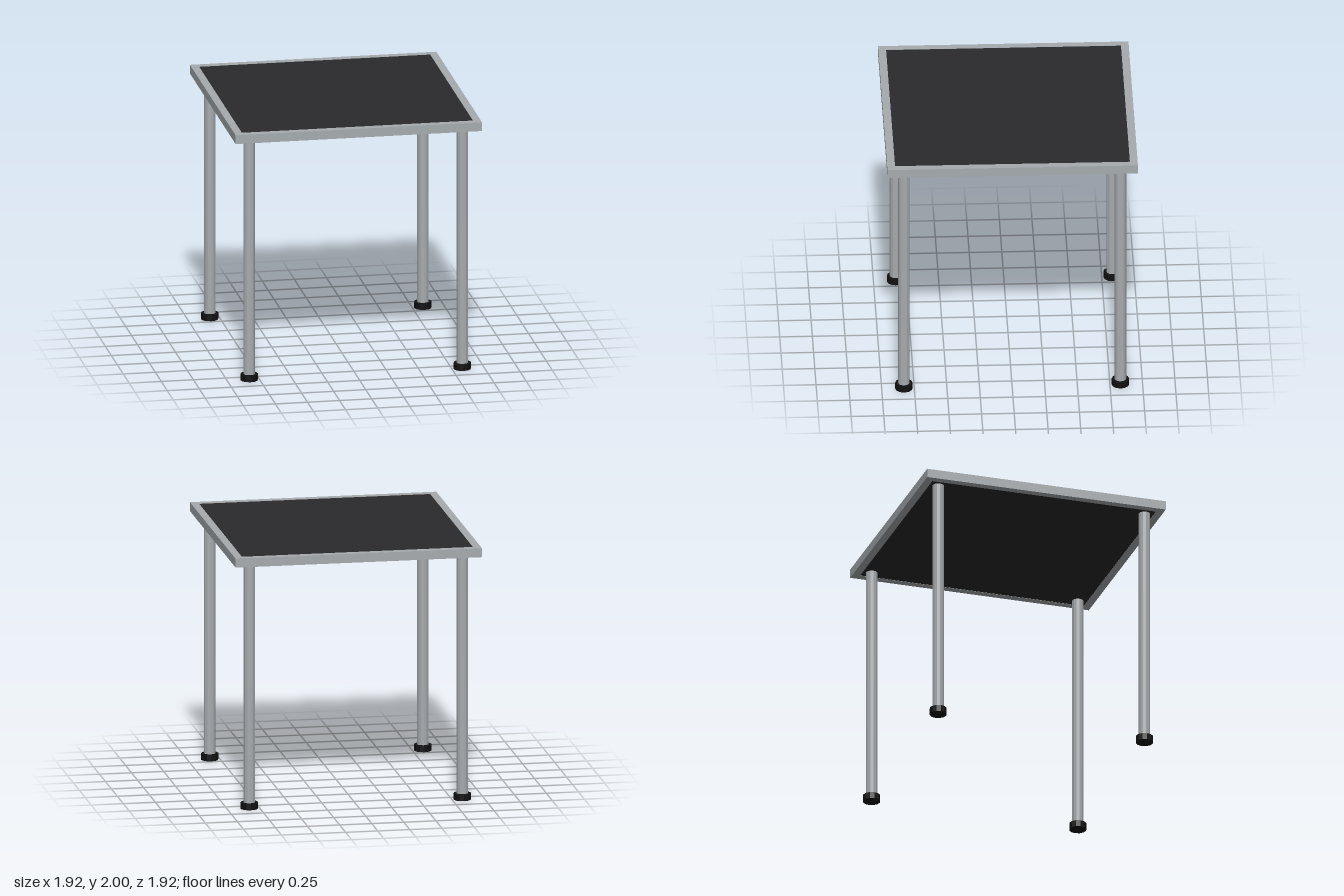
import * as THREE from 'three';

const metal = new THREE.MeshStandardMaterial({ color: 0xa6abae, flatShading: true });
const panelMat = new THREE.MeshStandardMaterial({ color: 0x2a2a2c, flatShading: true });
const rubber = new THREE.MeshStandardMaterial({ color: 0x111111, flatShading: true });

const OUTER = 0.96, INNER = 0.9, TOP = 2, UNDER = 1.93, LEG = 0.83;

function add(parent, name, geometry, material, x, y, z) {
  const mesh = new THREE.Mesh(geometry, material);
  mesh.name = name;
  mesh.position.set(x, y, z);
  parent.add(mesh);
  return mesh;
}

// Square outline of half-width h
const square = (Type, h) => new Type([
  new THREE.Vector2(-h, -h), new THREE.Vector2(h, -h),
  new THREE.Vector2(h, h), new THREE.Vector2(-h, h),
]);

export function createModel() {
  const table = new THREE.Group();
  table.name = 'table';

  // Metal rim around the top
  const outline = square(THREE.Shape, OUTER);
  outline.holes.push(square(THREE.Path, INNER));
  const rim = new THREE.ExtrudeGeometry(outline, { depth: TOP - UNDER, bevelEnabled: false });
  rim.rotateX(-Math.PI / 2);
  add(table, 'rim', rim, metal, 0, UNDER, 0);

  // Dark panel set into the rim
  const thickness = TOP - UNDER - 0.004;
  add(table, 'panel', new THREE.BoxGeometry(INNER * 2, thickness, INNER * 2),
    panelMat, 0, (TOP + UNDER) / 2, 0);

  // Four tubular legs with rubber feet
  const footHeight = 0.05, legTop = UNDER + 0.005;
  const legGeo = new THREE.CylinderGeometry(0.045, 0.045, legTop - footHeight, 12);
  const footGeo = new THREE.CylinderGeometry(0.067, 0.067, footHeight, 12);
  for (const [sz, end] of [[1, 'front'], [-1, 'back']]) {
    for (const [sx, side] of [[1, 'Left'], [-1, 'Right']]) {
      const leg = new THREE.Group();
      leg.name = `${end}${side}Leg`;
      leg.position.set(sx * LEG, 0, sz * LEG);
      add(leg, 'tube', legGeo, metal, 0, (legTop + footHeight) / 2, 0);
      add(leg, 'foot', footGeo, rubber, 0, footHeight / 2, 0);
      table.add(leg);
    }
  }
  return table;
}
